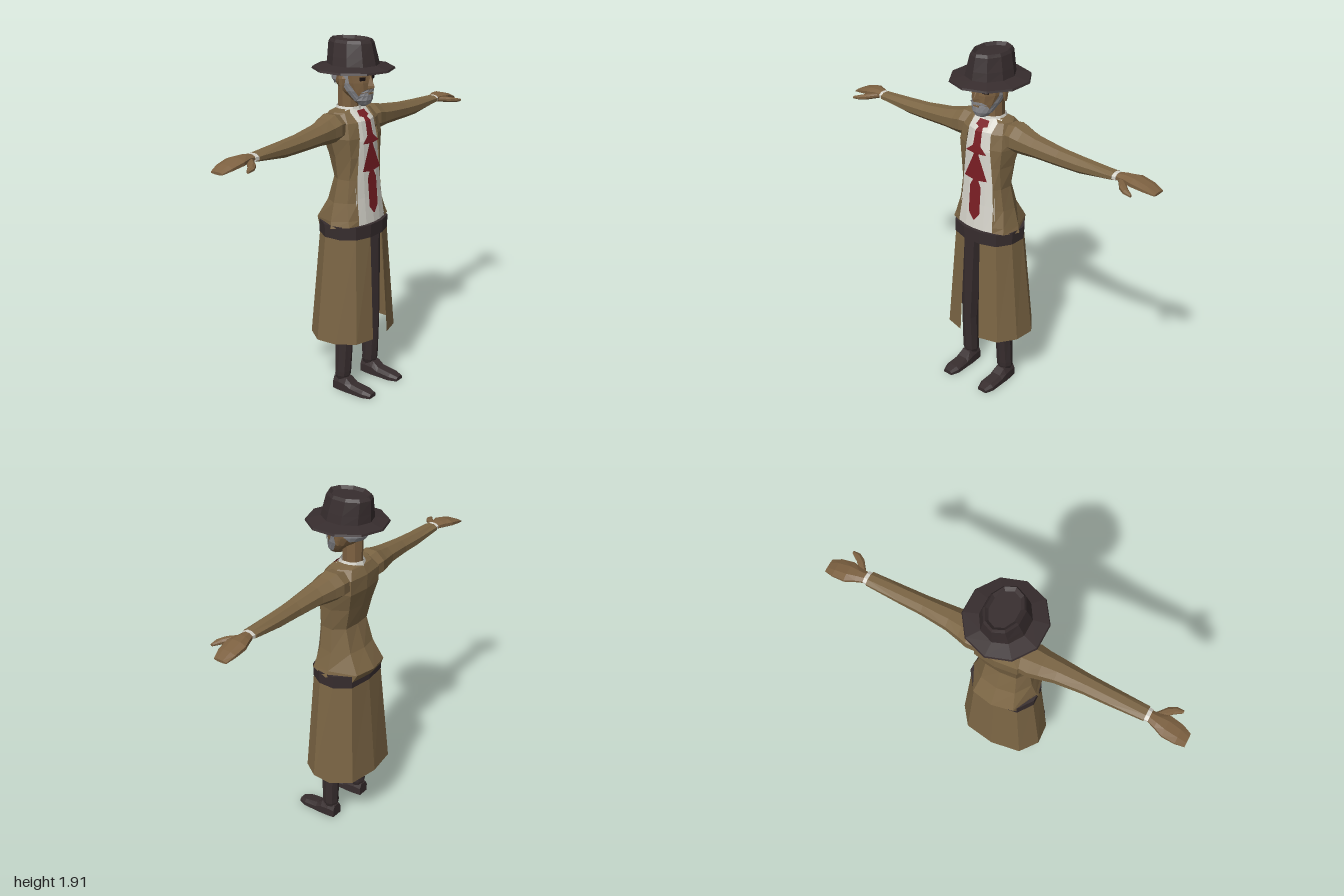
import * as THREE from 'three';

const mat = (name, color, side = THREE.FrontSide) => {
  const m = new THREE.MeshStandardMaterial({ color, side });
  m.name = name;
  return m;
};

// Piecewise-linear lookup: rows of [key, ...values]
function lerpRows(rows, k) {
  let i = 0;
  while (i < rows.length - 2 && k > rows[i + 1][0]) i++;
  const a = rows[i], b = rows[i + 1];
  const t = Math.min(1, Math.max(0, (k - a[0]) / (b[0] - a[0])));
  return a.map((v, j) => v + (b[j] - v) * t);
}

// Flat-shaded skin over rings of [x, y, z]; side = -1 mirrors across x
function loft(rings, { closed = true, caps = closed, side = 1 } = {}) {
  const pos = [];
  const tri = (a, b, c) => (side > 0 ? [a, b, c] : [a, c, b])
    .forEach(p => pos.push(p[0] * side, p[1], p[2]));
  const n = rings[0].length;
  for (let i = 0; i < rings.length - 1; i++) {
    for (let j = 0; j < (closed ? n : n - 1); j++) {
      const k = (j + 1) % n, a = rings[i], b = rings[i + 1];
      tri(a[j], a[k], b[k]);
      tri(a[j], b[k], b[j]);
    }
  }
  if (caps) {
    const mid = r => [0, 1, 2].map(c => r.reduce((s, p) => s + p[c], 0) / n);
    const s = rings[0], e = rings[rings.length - 1], ms = mid(s), me = mid(e);
    for (let j = 0; j < n; j++) {
      const k = (j + 1) % n;
      tri(ms, s[k], s[j]);
      tri(me, e[j], e[k]);
    }
  }
  const g = new THREE.BufferGeometry();
  g.setAttribute('position', new THREE.Float32BufferAttribute(pos, 3));
  g.computeVertexNormals();
  return g;
}

// Horizontal ring, from angle a0 to a1 measured from the front
const ringY = (y, cx, cz, rx, rz, n) => Array.from({ length: n }, (_, i) => {
  const a = i / n * Math.PI * 2;
  return [cx + Math.sin(a) * rx, y, cz + Math.cos(a) * rz];
});
// Upright ring around the x axis
const ringX = (x, cy, cz, ry, rz, n = 8) => Array.from({ length: n }, (_, i) => {
  const a = (i + 0.5) / n * Math.PI * 2;
  return [x, cy + Math.cos(a) * ry, cz + Math.sin(a) * rz];
});
// Mirror a half outline (front to back centre) to a full one
const bothSides = half => [...half, ...half.slice(0, -1).reverse().map(([x, y, z]) => [-x, y, z])];

export function createModel() {
  const root = new THREE.Group();
  const coat = mat('coat brown', 0x7b6544, THREE.DoubleSide);
  const skin = mat('skin', 0x7d6141);
  const dark = mat('dark felt', 0x372d2e);
  const grey = mat('grey hair', 0x8b8b8f, THREE.DoubleSide);
  const white = mat('shirt white', 0xd6d4cb, THREE.DoubleSide);
  const red = mat('tie red', 0x7a1e24, THREE.DoubleSide);
  const black = mat('eye black', 0x1c1313);
  const add = (name, geo, m) => {
    const mesh = new THREE.Mesh(geo, m);
    mesh.name = name;
    root.add(mesh);
    return mesh;
  };

  // Hat
  add('hatBrim', loft([[1.762, 0.21, 0.218], [1.772, 0.205, 0.214], [1.788, 0.122, 0.14]]
    .map(([y, rx, rz]) => ringY(y, 0, 0, rx, rz, 10))), dark);
  add('hatCrown', loft([[1.78, 0, 0.126, 0.143], [1.83, -0.005, 0.115, 0.137],
    [1.9, -0.013, 0.097, 0.128], [1.915, -0.013, 0.086, 0.118], [1.9, -0.013, 0.07, 0.1]]
    .map(([y, cz, rx, rz]) => ringY(y, 0, cz, rx, rz, 10))), dark);

  // Head: [y, half width, front z, back z]
  const headRows = [[1.585, 0.03, 0.095, 0.03], [1.61, 0.052, 0.103, 0], [1.65, 0.073, 0.106, -0.06],
    [1.7, 0.088, 0.108, -0.11], [1.74, 0.093, 0.104, -0.122], [1.79, 0.09, 0.1, -0.122]];
  const headArc = (y, d0, d1, n, grow) => {
    const [, rx, f, b] = lerpRows(headRows, y);
    return Array.from({ length: n }, (_, i) => {
      const a = THREE.MathUtils.degToRad(d0 + (d1 - d0) * i / (n - 1));
      return [Math.sin(a) * (rx + grow), y, (f + b) / 2 + Math.cos(a) * ((f - b) / 2 + grow)];
    });
  };
  add('head', loft(headRows.map(r => headArc(r[0], 0, 330, 12, 0))), skin);
  add('neck', loft([[1.5, 0.06, 0.06], [1.56, 0.05, 0.055], [1.72, 0.05, 0.056]]
    .map(([y, rx, rz]) => ringY(y, 0, -0.033, rx, rz, 8))), skin);
  add('backHair', loft([[1.685, 130], [1.71, 110], [1.785, 100]]
    .map(([y, d]) => headArc(y, d, 360 - d, 9, 0.007)), { closed: false }), grey);

  // Beard, moustache and sideburns
  const beard = [[1.588, 90, 0.006], [1.61, 80, 0.008], [1.635, 55, 0.007], [1.65, 42, 0.005]]
    .map(([y, d, g]) => headArc(y, -d, d, 7, g));
  beard.unshift(headArc(1.588, -90, 90, 7, -0.02).map(([x, , z]) => [x, 1.574, z]));
  add('beard', loft(beard, { closed: false }), grey);
  add('moustache', loft([[1.653, 44], [1.668, 24]].map(([y, d]) => headArc(y, -d, d, 5, 0.009)),
    { closed: false }), grey);
  add('mouth', new THREE.BoxGeometry(0.034, 0.006, 0.006).translate(0, 1.645, 0.112), skin);
  add('nose', loft([[1.672, 0.016, 0.028], [1.685, 0.016, 0.03], [1.735, 0.008, 0.006]]
    .map(([y, rx, rz]) => ringY(y, 0, 0.103, rx, rz, 4))), skin);
  for (const s of [1, -1]) {
    const label = s > 0 ? 'left' : 'right';
    add(label + 'Sideburn', loft([[1.605, 50, 95], [1.66, 62, 92], [1.7, 70, 92], [1.77, 72, 90]]
      .map(([y, a, b]) => headArc(y, a, b, 3, 0.006)), { closed: false, side: s }), grey);
    const eye = add(label + 'Eye', new THREE.BoxGeometry(0.032, 0.017, 0.009), black);
    eye.position.set(s * 0.044, 1.722, 0.09);
    eye.rotation.y = s * 0.35;
    const brow = add(label + 'Brow', new THREE.BoxGeometry(0.036, 0.008, 0.012), grey);
    brow.position.set(s * 0.044, 1.745, 0.09);
    brow.rotation.y = s * 0.35;
    const ear = add(label + 'Ear', loft([[1.662, 0.006, 0.01], [1.69, 0.01, 0.018],
      [1.722, 0.012, 0.024], [1.735, 0.008, 0.016]].map(([y, rx, rz]) => ringY(y, 0, 0, rx, rz, 6))), skin);
    ear.position.set(s * 0.094, 0, -0.005);
  }

  // Jacket, open at the front: [y, edge x z, corner x z, side x z, rear x z, back z, back y]
  const jacket = [
    [0.96, 0.115, 0.122, 0.172, 0.1, 0.197, 0, 0.13, -0.13, -0.15, 0.925],
    [0.99, 0.112, 0.12, 0.165, 0.09, 0.185, -0.01, 0.12, -0.15, -0.174, 0.965],
    [1.08, 0.106, 0.106, 0.147, 0.07, 0.158, -0.01, 0.1, -0.093, -0.11, 1.07],
    [1.2, 0.1, 0.1, 0.13, 0.07, 0.137, 0, 0.09, -0.058, -0.066, 1.2],
    [1.32, 0.09, 0.1, 0.13, 0.08, 0.15, -0.005, 0.1, -0.085, -0.098, 1.32],
    [1.42, 0.08, 0.1, 0.14, 0.078, 0.17, -0.02, 0.12, -0.11, -0.124, 1.42],
    [1.5, 0.075, 0.085, 0.13, 0.06, 0.17, -0.03, 0.12, -0.112, -0.124, 1.5],
    [1.55, 0.08, 0.038, 0.11, 0.025, 0.125, -0.03, 0.085, -0.09, -0.1, 1.545],
    [1.558, 0.058, 0.02, 0.064, 0.01, 0.066, -0.03, 0.05, -0.078, -0.088, 1.555]];
  add('jacket', loft(jacket.map(([y, ex, ez, cx, cz, sx, sz, rx, rz, bz, by]) => bothSides([
    [ex, y, ez], [cx, y, cz], [sx, (y + by) / 2, sz], [rx, by, rz], [0, by, bz]])),
  { closed: false }), coat);

  // Shirt front, collar and tie share one front profile
  const front = [[0.95, 0.137], [1.1, 0.122], [1.25, 0.111], [1.4, 0.107], [1.5, 0.087], [1.56, 0.028]];
  const frontZ = y => lerpRows(front, y)[1];
  const shirtHalf = [[0.95, 0.122], [1.2, 0.108], [1.42, 0.09], [1.56, 0.085]];
  add('shirtFront', loft(front.map(([y, z]) => {
    const w = lerpRows(shirtHalf, y)[1];
    return [-1, -0.5, 0, 0.5, 1].map(t => [t * w, y, z - 0.022 * t * t]);
  }), { closed: false }), white);
  add('collar', loft([[1.53, 0.074, 0.075], [1.568, 0.06, 0.065]]
    .map(([y, rx, rz]) => ringY(y, 0, -0.03, rx, rz, 10)), { caps: false }), white);
  const tie = [[1.01, 0.004], [1.05, 0.036], [1.2, 0.036], [1.235, 0.018], [1.245, 0.075],
    [1.35, 0.028], [1.383, 0.014], [1.39, 0.068], [1.425, 0.025], [1.48, 0.022],
    [1.5, 0.022], [1.518, 0.014], [1.525, 0.038], [1.55, 0.03]];
  add('tie', loft(tie.map(([y, w]) => [-1, 0, 1].map(t => [t * w, y, frontZ(y) + 0.006])),
    { closed: false }), red);

  // Coat skirt, open at the front, with belt above
  const skirtTop = [[0.052, 0.15], [0.14, 0.12], [0.186, 0.045], [0.188, -0.045], [0.13, -0.125], [0, -0.142]];
  const skirtHem = [[0.065, 0.18], [0.175, 0.15], [0.238, 0.055], [0.246, -0.06], [0.17, -0.16], [0, -0.187]];
  const outline = (pts, y, k = 1) => bothSides(pts.map(([x, z]) => [x * k, y, z * k]));
  add('coatSkirt', loft([outline(skirtHem, 0.31), outline(skirtTop, 0.9)], { closed: false }), coat);
  add('belt', loft([outline(skirtTop, 0.888, 1.015), outline(skirtTop, 0.958, 1.02)]), dark);
  add('hips', loft([[0.868, 0.13, 0.085], [0.95, 0.16, 0.11]]
    .map(([y, rx, rz]) => ringY(y, 0, 0.01, rx, rz, 10))), dark);

  for (const side of [1, -1]) {
    const label = side > 0 ? 'left' : 'right';

    // Leg and shoe
    add(label + 'Leg', loft([[0.06, 0.126, 0.02, 0.036, 0.036], [0.085, 0.126, 0.022, 0.045, 0.043],
      [0.11, 0.126, 0.024, 0.045, 0.044], [0.31, 0.122, 0.028, 0.043, 0.054],
      [0.5, 0.112, 0.028, 0.052, 0.062], [0.88, 0.095, 0.015, 0.064, 0.085]]
      .map(([y, cx, cz, rx, rz]) => ringY(y, cx, cz, rx, rz, 8)), { side }), dark);
    add(label + 'Shoe', loft([[-0.02, 0.07, 0.034], [0.02, 0.08, 0.04], [0.065, 0.075, 0.043],
      [0.1, 0.048, 0.043], [0.18, 0.036, 0.044], [0.225, 0.022, 0.028]].map(([z, h, w]) =>
      [[1, 0], [1, 0.6], [0.6, 1], [-0.6, 1], [-1, 0.6], [-1, 0]]
        .map(([u, v]) => [0.128 + u * w, v * h, z])), { side }), dark);

    // Sleeve, cuff and hand: [x, centre y, centre z, half height, half depth]
    const limb = rows => loft(rows.map(r => ringX(...r)), { side });
    add(label + 'Sleeve', limb([[0.1, 1.473, -0.03, 0.07, 0.08], [0.17, 1.477, -0.025, 0.077, 0.09],
      [0.22, 1.47, -0.02, 0.068, 0.079], [0.3, 1.466, -0.012, 0.055, 0.067],
      [0.45, 1.457, -0.008, 0.046, 0.053], [0.57, 1.454, -0.008, 0.041, 0.049],
      [0.77, 1.461, -0.01, 0.022, 0.042]]), coat);
    add(label + 'Cuff', limb([[0.76, 1.461, -0.01, 0.021, 0.038], [0.79, 1.462, -0.011, 0.021, 0.036]]), white);
    add(label + 'Hand', limb([[0.78, 1.462, -0.012, 0.018, 0.03], [0.83, 1.462, -0.02, 0.023, 0.042],
      [0.88, 1.46, -0.025, 0.023, 0.061], [0.95, 1.447, -0.029, 0.016, 0.056],
      [1, 1.432, -0.032, 0.007, 0.04]]), skin);
    add(label + 'Thumb', limb([[0.805, 1.455, 0, 0.014, 0.018], [0.85, 1.45, 0.045, 0.016, 0.03],
      [0.885, 1.445, 0.073, 0.014, 0.022], [0.925, 1.44, 0.088, 0.007, 0.008]]), skin);
  }

  return root;
}
